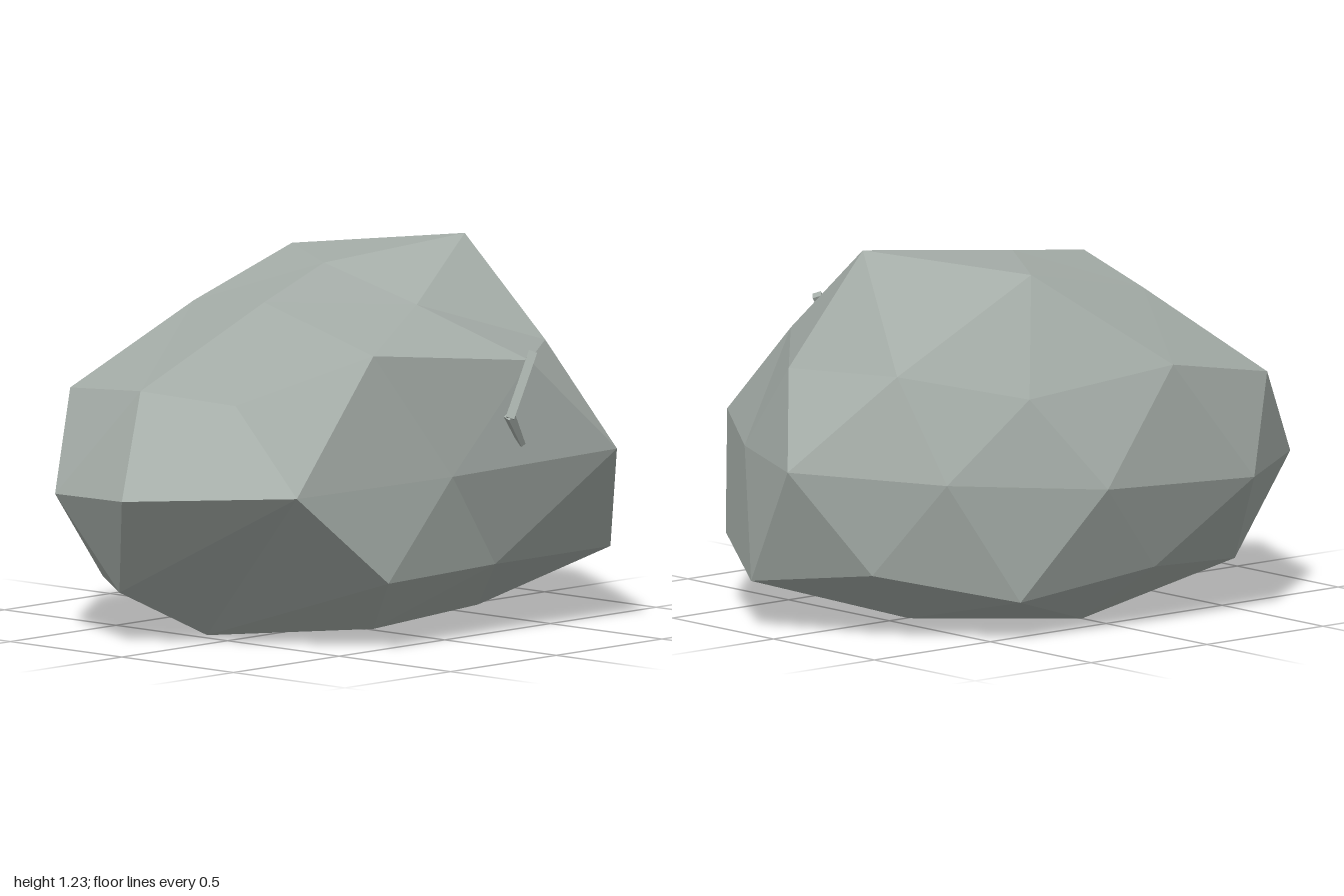
import * as THREE from 'three';
import { ConvexGeometry } from 'three/addons/geometries/ConvexGeometry.js';

// Rock corners, ring by ring from the base to the crown: [x, y, z]
const base = [
  [-0.48, 0.005, -0.11], [0, 0, -0.38], [0.53, 0.03, -0.13], [0.4, 0.05, 0.27], [-0.18, 0.04, 0.35],
];
const lower = [
  [-0.35, 0.23, 0.58], [0.16, 0.24, 0.575], [0.71, 0.24, 0.57], [0.94, 0.16, 0.18], [0.8, 0.22, -0.26],
  [0.43, 0.13, -0.57], [-0.08, 0.2, -0.65], [-0.52, 0.16, -0.54], [-0.8, 0.17, -0.2],
];
const middle = [
  [-1, 0.51, 0], [-0.71, 0.54, 0.51], [-0.1, 0.56, 0.63], [0.53, 0.6, 0.77], [0.82, 0.57, 0.35], [1, 0.56, -0.07],
  [0.66, 0.53, -0.47], [0.2, 0.5, -0.74], [-0.4, 0.475, -0.775], [-0.82, 0.47, -0.47],
];
const upper = [
  [-0.62, 0.8, 0.15], [-0.39, 0.98, 0.55], [0.19, 0.92, 0.7], [0.56, 0.92, 0.42], [0.83, 0.86, 0.12],
  [0.71, 0.87, -0.28], [0.4, 0.8, -0.58], [-0.08, 0.88, -0.74], [-0.59, 0.78, -0.62], [-0.69, 0.82, -0.21],
];
const crown = [
  [-0.4, 1.11, 0.07], [0.1, 1.07, 0.28], [0.58, 1.23, 0.04], [0.03, 1.18, -0.07], [0.28, 1.18, -0.45], [-0.28, 1.06, -0.36],
];

// Wrap the corners as a sphere, then move each back to its own distance,
// so that shallow hollows survive
function rockGeometry() {
  const centre = new THREE.Vector3(0, 0.58, 0);
  const offsets = [base, lower, middle, upper, crown].flat()
    .map((p) => new THREE.Vector3(...p).sub(centre));
  const directions = offsets.map((o) => o.clone().normalize());
  const geometry = new ConvexGeometry(directions);
  const position = geometry.attributes.position;
  const v = new THREE.Vector3();
  for (let i = 0; i < position.count; i++) {
    v.fromBufferAttribute(position, i);
    let best = 0;
    directions.forEach((d, j) => {
      if (d.dot(v) > directions[best].dot(v)) best = j;
    });
    v.copy(offsets[best]).add(centre);
    position.setXYZ(i, v.x, v.y, v.z);
  }
  geometry.computeVertexNormals();
  return geometry;
}

// Thin four-sided bar between two points
function bar(from, to, radiusFrom, radiusTo, material) {
  const a = new THREE.Vector3(...from);
  const b = new THREE.Vector3(...to);
  const along = b.clone().sub(a);
  const mesh = new THREE.Mesh(new THREE.CylinderGeometry(radiusTo, radiusFrom, along.length(), 4), material);
  mesh.position.copy(a).add(b).multiplyScalar(0.5);
  mesh.quaternion.setFromUnitVectors(new THREE.Vector3(0, 1, 0), along.normalize());
  return mesh;
}

export function createModel() {
  const stone = new THREE.MeshStandardMaterial({ color: 0xa5ada8, flatShading: true });
  stone.name = 'stone grey';
  const group = new THREE.Group();
  group.name = 'boulder';

  const rock = new THREE.Mesh(rockGeometry(), stone);
  rock.name = 'rock';
  group.add(rock);

  // Bent sliver on the front face
  const upperSliver = bar([0.08, 0.74, 0.715], [0.2, 0.945, 0.705], 0.02, 0.02, stone);
  upperSliver.name = 'upperSliver';
  const lowerSliver = bar([0.08, 0.75, 0.715], [0.165, 0.645, 0.69], 0.02, 0.012, stone);
  lowerSliver.name = 'lowerSliver';
  group.add(upperSliver, lowerSliver);

  return group;
}
